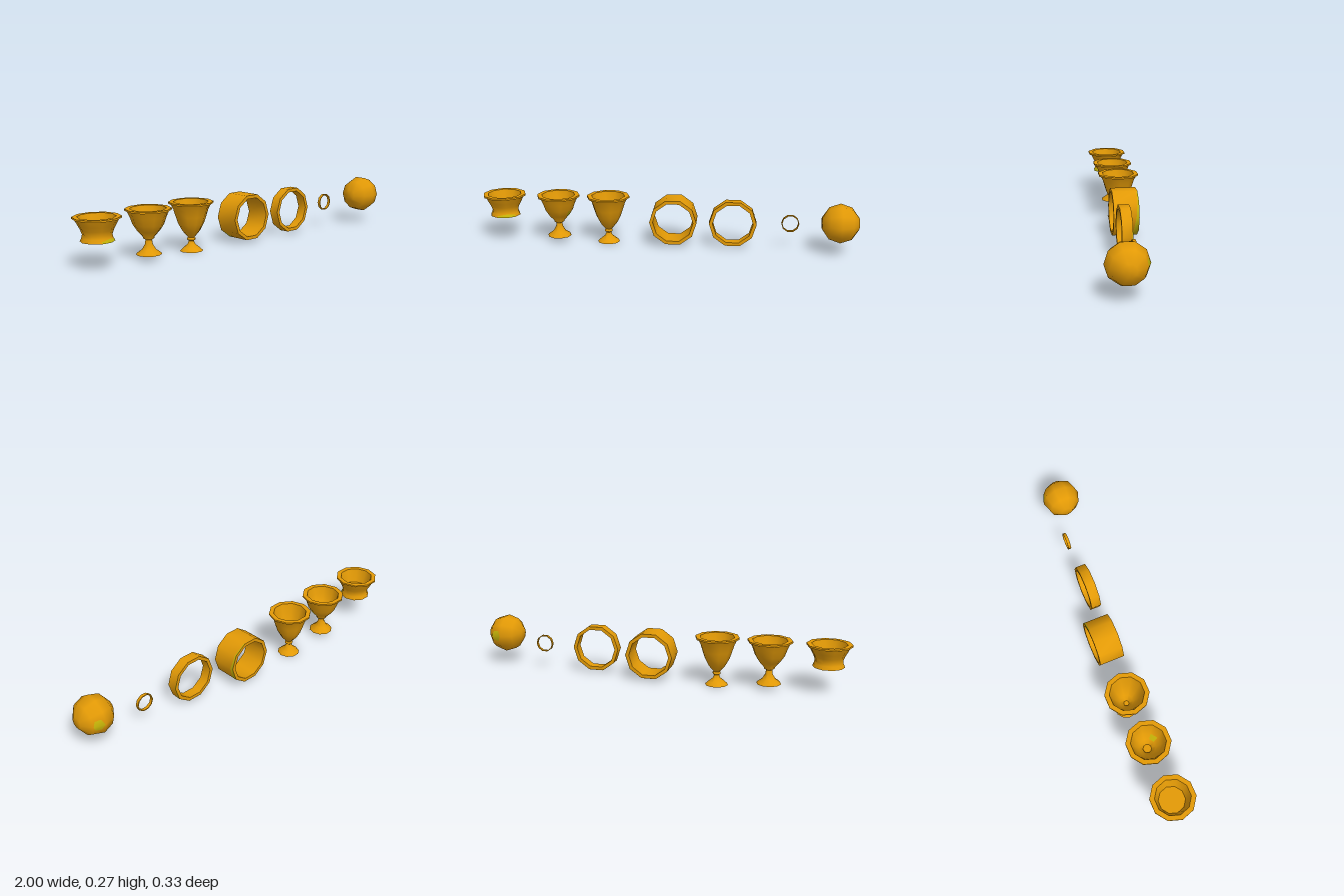
import * as THREE from 'three';
import { toCreasedNormals } from 'three/addons/utils/BufferGeometryUtils.js';

const SIDES = 10;
const rad = THREE.MathUtils.degToRad;

export function createModel() {
  const group = new THREE.Group();
  const gold = new THREE.MeshStandardMaterial({ color: 0xe39a06 });
  gold.name = 'gold';
  const tarnish = new THREE.MeshStandardMaterial({ color: 0xc8b608, side: THREE.DoubleSide });
  tarnish.name = 'yellow green';

  // Ten-sided turned solid: the 36 degree steps stay smooth, real edges stay sharp
  const turned = (profile, phi = Math.PI / 2, crease = 50) => toCreasedNormals(
    new THREE.LatheGeometry(profile.map(([r, y]) => new THREE.Vector2(r, y)), SIDES, phi),
    rad(crease));

  function add(name, geometry, position, material = gold) {
    const mesh = new THREE.Mesh(geometry, material);
    mesh.name = name;
    mesh.position.set(...position);
    group.add(mesh);
  }

  // Painted patch: a strip of surface between two rows of points
  function patch(name, lower, upper, position) {
    const index = [];
    const n = lower.length;
    for (let i = 0; i < n - 1; i++) index.push(i, i + 1, n + i, i + 1, n + i + 1, n + i);
    const geometry = new THREE.BufferGeometry().setFromPoints(
      [...lower, ...upper].map((p) => new THREE.Vector3(...p)));
    geometry.setIndex(index);
    geometry.computeVertexNormals();
    add(name, geometry, position, tarnish);
  }

  // Vessels: outside from the foot up, then the shared rim, then the inside down
  const rim = [[0.104, 0.245], [0.115, 0.247], [0.115, 0.256], [0.09, 0.256]];
  const vessel = (name, x, outside, inside) =>
    add(name, turned([...outside, ...rim, ...inside]), [x, 0, -0.056]);

  vessel('bowl', -0.885,
    [[0, 0.14], [0.081, 0.14], [0.073, 0.158], [0.07, 0.172], [0.078, 0.195], [0.09, 0.217]],
    [[0.08, 0.222], [0.068, 0.18], [0, 0.18]]);

  vessel('shortGoblet', -0.59,
    [[0, 0.027], [0.064, 0.027], [0.06, 0.034], [0.034, 0.052], [0.019, 0.078],
      [0.016, 0.1], [0.027, 0.107], [0.029, 0.115], [0.055, 0.144], [0.077, 0.178], [0.09, 0.215]],
    [[0.08, 0.215], [0.065, 0.175], [0.043, 0.145], [0.026, 0.126], [0.022, 0.112], [0, 0.112]]);

  vessel('tallGoblet', -0.319,
    [[0, 0], [0.06, 0], [0.04, 0.018], [0.02, 0.034], [0.013, 0.052],
      [0.021, 0.058], [0.021, 0.066], [0.017, 0.071], [0.045, 0.104], [0.066, 0.143],
      [0.079, 0.182], [0.09, 0.218]],
    [[0.08, 0.215], [0.068, 0.175], [0.054, 0.14], [0.036, 0.11], [0.018, 0.09],
      [0.014, 0.078], [0, 0.078]]);

  // Patches on a vessel wall, between two [radius, height] levels;
  // reach tells how far up the patch climbs at each angle
  function wallPatch(name, x, angles, low, high, reach) {
    const point = (degrees, t) => {
      const r = THREE.MathUtils.lerp(low[0], high[0], t);
      return [r * Math.cos(rad(degrees)), THREE.MathUtils.lerp(low[1], high[1], t),
        r * Math.sin(rad(degrees))];
    };
    patch(name, angles.map((a) => point(a, 0)), angles.map((a, i) => point(a, reach[i])),
      [x, 0, -0.056]);
  }
  wallPatch('bowlPatch', -0.885, [108, 72, 36], [0.0818, 0.14], [0.0738, 0.158], [0.5, 1, 0.6]);
  wallPatch('gobletInnerPatch', -0.59, [36, 72], [0.0422, 0.145], [0.0642, 0.175], [1, 1]);
  wallPatch('gobletOuterPatch', -0.59, [36, 0], [0.0558, 0.144], [0.0778, 0.178], [1, 0.5]);

  // Rings standing upright, opening towards the front
  function ring(name, position, outer, inner, depth) {
    const h = depth / 2;
    const geometry = turned([[inner, -h], [outer, -h], [outer, h], [inner, h], [inner, -h]]);
    add(name, geometry.rotateX(Math.PI / 2), position);
  }
  const wide = [0.035, 0.1365, -0.04];
  const medium = [0.352, 0.1365, 0];
  ring('wideRing', wide, 0.1255, 0.107, 0.134);
  ring('mediumRing', medium, 0.1255, 0.107, 0.054);
  ring('smallRing', [0.654, 0.14, -0.003], 0.047, 0.042, 0.016);

  // Patches along the rear edge of a ring, from underneath up its left side
  function ringPatch(name, position, depth, widths) {
    const row = (inset) => widths.map((w, i) => {
      const a = rad(-144 + 36 * i);
      return [0.1261 * Math.cos(a), 0.1261 * Math.sin(a), -depth / 2 + inset * w];
    });
    patch(name, row(0), row(1), position);
  }
  ringPatch('wideRingPatch', wide, 0.134, [0.01, 0.028, 0.032, 0.027, 0.016, 0.008, 0.006]);
  ringPatch('mediumRingPatch', medium, 0.054, [0, 0.011, 0.014, 0.012, 0.005, 0]);

  // Ball turned about the x axis, with small flat ends
  const ballCentre = [0.9055, 0.1675, 0.063];
  const radius = 0.1027;
  const axial = 0.0993;
  const arc = [-72, -36, 0, 36, 72].map((d) =>
    [radius * Math.cos(rad(d)), axial * Math.sin(rad(d))]);
  const end = arc[4][1];
  add('ball', turned([[0, -end], ...arc, [0, end]], 0, 80).rotateZ(Math.PI / 2), ballCentre);

  // Patch on the back of the ball, folded over the edge between two of its faces
  const ballPoint = (t, s) => {
    const r = (radius + 0.001) * (1 - t * (1 - Math.cos(rad(36))));
    return [t * axial * Math.sin(rad(36)), s * r * Math.sin(rad(36)),
      -r * (1 - Math.abs(s) * (1 - Math.cos(rad(36))))];
  };
  patch('ballPatch', [ballPoint(0.3, -0.5), ballPoint(0.05, 0), ballPoint(0.3, 0.5)],
    [ballPoint(0.8, -0.5), ballPoint(1, 0), ballPoint(0.8, 0.5)], ballCentre);

  return group;
}
